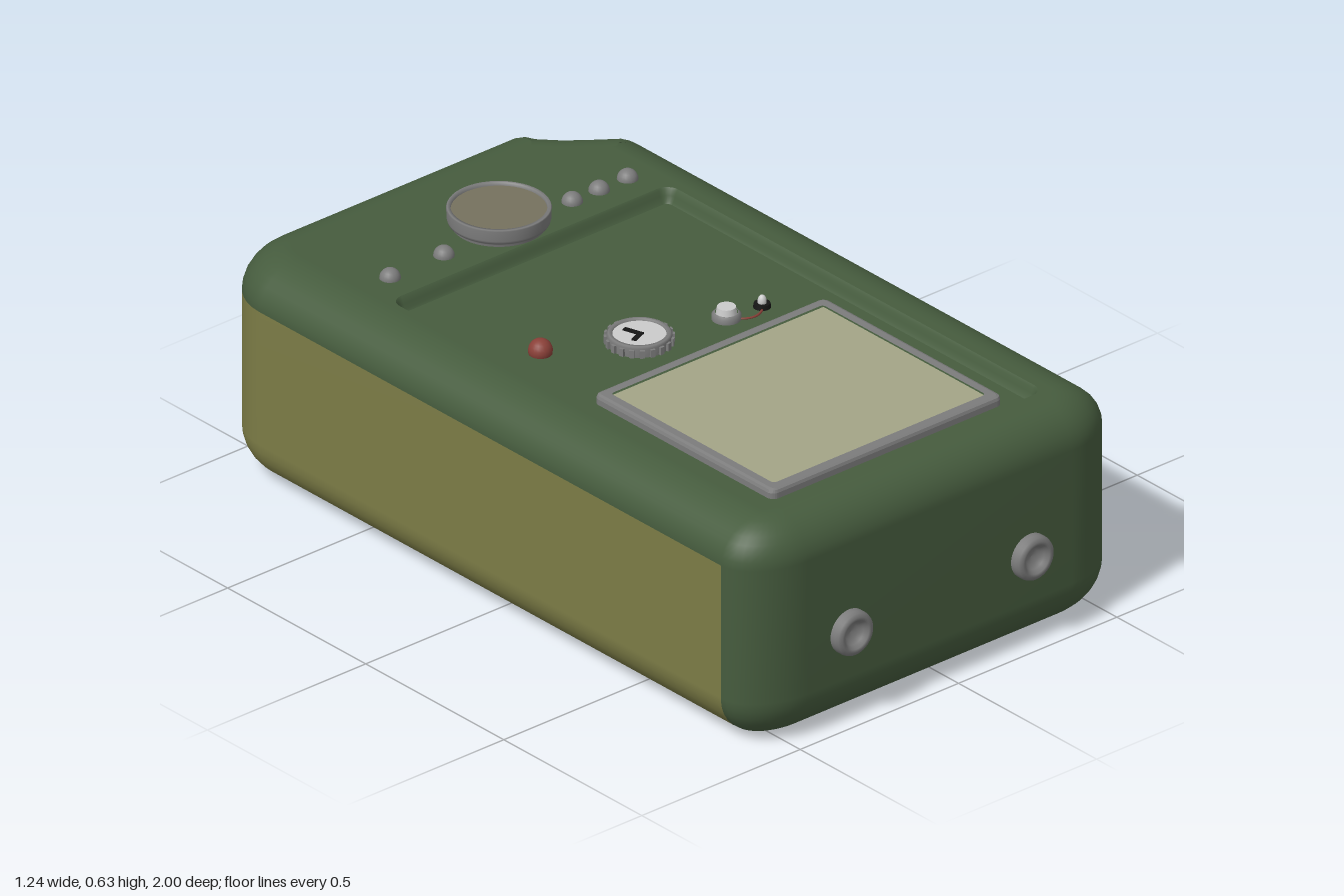
import * as THREE from 'three';

const mat = (color, extra = {}) => new THREE.MeshStandardMaterial({ color, ...extra });
const GREEN = mat(0x465c3e), OLIVE = mat(0x7c7c46), GREY = mat(0x7c7c7c), PALE = mat(0xcccccc);
const DARK = mat(0x151515), RED = mat(0x8a4038), SCREEN = mat(0xa3a486), LENS = mat(0x75715e);
const TOP = 0.585, FLOOR = 0.55;

// Elliptical corner points [x, z, wx, wz]; wx, wz say how far a point moves when inset
function corner(cx, cz, rx, rz, start, n = 10) {
  return Array.from({ length: n + 1 }, (_, i) => {
    const t = (start + i / n) * Math.PI / 2, c = Math.cos(t), s = -Math.sin(t);
    return [cx + rx * c, cz + rz * s, c, s];
  });
}

function roundedRect(x0, x1, z0, z1, r) {
  return [
    ...corner(x1 - r, z0 + r, r, r, 0, 6), ...corner(x0 + r, z0 + r, r, r, 1, 6),
    ...corner(x0 + r, z1 - r, r, r, 2, 6), ...corner(x1 - r, z1 - r, r, r, 3, 6),
  ];
}

const ring = (outline, y, ix, iz) =>
  outline.map(([x, z, wx, wz]) => new THREE.Vector3(x - wx * ix, y, z - wz * iz));

// Skins a stack of closed rings
function loft(rings) {
  const n = rings[0].length, index = [];
  for (let j = 0; j < rings.length - 1; j++) {
    for (let i = 0; i < n; i++) {
      const k = (i + 1) % n, a = j * n + i, b = j * n + k;
      index.push(a, b, b + n, a, b + n, a + n);
    }
  }
  const g = new THREE.BufferGeometry().setFromPoints(rings.flat());
  g.setIndex(index);
  g.computeVertexNormals();
  return g;
}

// Flat face filling a ring, facing up or down
function cap(points, up, hole) {
  const s = up ? -1 : 1;
  const flat = (p) => p.map((v) => new THREE.Vector2(v.x, v.z * s));
  const shape = new THREE.Shape(flat(points));
  if (hole) shape.holes.push(new THREE.Path(flat(hole)));
  return new THREE.ShapeGeometry(shape).rotateX(s * Math.PI / 2).translate(0, points[0].y, 0);
}

function lathe(profile, segments = 40) {
  return new THREE.LatheGeometry(profile.map(([r, y]) => new THREE.Vector2(r, y)), segments);
}

export function createModel() {
  const model = new THREE.Group();
  const add = (name, geometry, material, x = 0, y = 0, z = 0, parent = model) => {
    const m = new THREE.Mesh(geometry, material);
    m.name = name;
    m.position.set(x, y, z);
    parent.add(m);
    return m;
  };

  // Case outline, with a hollowed chamfer at the back left corner
  const outline = [
    [0.555, -0.75, 1, 0], [0.55, -0.785, 0.9, -0.4], [0.53, -0.818, 0.7, -0.7],
    [0.48, -0.855, 0.65, -0.75], [0.42, -0.902, 0.7, -0.7], [0.375, -0.95, 0.7, -0.7],
    [0.345, -0.985, 0.4, -0.9], [0.3, -1, 0, -1],
    ...corner(-0.43, -0.82, 0.19, 0.18, 1),
    ...corner(-0.45, 0.85, 0.17, 0.12, 2),
    ...corner(0.385, 0.85, 0.17, 0.12, 3),
  ];
  const IX = 0.13, IZ = 0.11, N = 8, rings = [];
  for (let i = 0; i <= N; i++) {
    const a = (i / N) * Math.PI / 2, k = 1 - Math.sin(a);
    rings.push(ring(outline, 0.12 * (1 - Math.cos(a)), IX * k, IZ * k));
  }
  for (let i = 0; i <= N; i++) {
    const a = (i / N) * Math.PI / 2, k = 1 - Math.cos(a);
    rings.push(ring(outline, 0.48 + (TOP - 0.48) * Math.sin(a), IX * k, IZ * k));
  }
  const skin = loft(rings), pos = skin.attributes.position, nor = skin.attributes.normal;
  const n = outline.length;
  for (let i = 0; i < n; i++) {
    nor.setXYZ(i, 0, -1, 0);
    nor.setXYZ(pos.count - 1 - i, 0, 1, 0);
  }

  // Split the skin into the green front and top shell and the olive sides
  const parts = { green: [], olive: [] }, idx = skin.index.array;
  for (let t = 0; t < idx.length; t += 3) {
    const tri = [idx[t], idx[t + 1], idx[t + 2]];
    const y = tri.reduce((s, i) => s + pos.getY(i), 0) / 3;
    const z = tri.reduce((s, i) => s + pos.getZ(i), 0) / 3;
    (y > 0.48 || z > 0.85 ? parts.green : parts.olive).push(...tri);
  }
  for (const [key, name, material] of [['green', 'caseShell', GREEN], ['olive', 'caseSides', OLIVE]]) {
    const g = new THREE.BufferGeometry();
    g.setAttribute('position', pos);
    g.setAttribute('normal', nor);
    g.setIndex(parts[key]);
    add(name, g, material);
  }
  add('caseBottom', cap(rings[0], false), OLIVE);

  // Top face with the sunken control panel
  const panel = roundedRect(-0.475, 0.405, -0.515, 0.845, 0.035);
  const walls = [0, 1, 2, 3, 4].map((i) => {
    const t = i / 4;
    return ring(panel, TOP - (TOP - FLOOR) * t * t * (3 - 2 * t), 0.02 * t, 0.02 * t);
  });
  add('caseTop', cap(rings[rings.length - 1], true, walls[0]), GREEN);
  add('panelWall', loft(walls), GREEN);
  add('panelFloor', cap(walls[4], true), GREEN);

  // Screen and its bevelled frame
  const frame = new THREE.Shape(roundedRect(-0.39, 0.32, -0.775, -0.145, 0.01)
    .map(([x, y]) => new THREE.Vector2(x, y)));
  frame.holes.push(new THREE.Path(roundedRect(-0.37, 0.30, -0.755, -0.165, 0.01)
    .map(([x, y]) => new THREE.Vector2(x, y))));
  add('screenFrame', new THREE.ExtrudeGeometry(frame, {
    depth: 0.015, bevelThickness: 0.01, bevelSize: 0.01, bevelSegments: 2,
  }).rotateX(-Math.PI / 2), GREY, 0, FLOOR, 0);
  add('screen', new THREE.BoxGeometry(0.69, 0.012, 0.61), SCREEN, -0.035, FLOOR + 0.006, 0.46);

  // Large round dial
  const dial = new THREE.Group();
  dial.name = 'dial';
  dial.position.set(-0.03, 0, -0.63);
  model.add(dial);
  add('dialRim', lathe([[0.112, 0.545], [0.113, 0.59], [0.123, 0.598], [0.125, 0.605],
    [0.126, 0.632], [0.124, 0.635], [0.116, 0.635], [0.115, 0.625]], 48), GREY, 0, 0, 0, dial);
  add('dialFace', new THREE.CylinderGeometry(0.116, 0.116, 0.02, 48), LENS, 0, 0.617, 0, dial);

  // Row of small studs
  const stud = new THREE.SphereGeometry(0.026, 20, 12);
  for (const x of [-0.4, -0.23, 0.175, 0.26, 0.35]) add('stud', stud, GREY, x, TOP, -0.6);

  // Indicator lamp
  add('lamp', new THREE.SphereGeometry(0.03, 20, 12), RED, -0.335, 0.559, -0.13);

  // Clock gauge with notched bezel and two hands
  const clock = new THREE.Group();
  clock.name = 'clock';
  clock.position.set(-0.122, FLOOR, -0.016);
  model.add(clock);
  add('clockBezel', lathe([[0.077, -0.005], [0.079, 0.024], [0.074, 0.029], [0.066, 0.029], [0.064, 0.022]]),
    GREY, 0, 0, 0, clock);
  add('clockFace', new THREE.CylinderGeometry(0.066, 0.066, 0.02, 40), PALE, 0, 0.014, 0, clock);
  for (let i = 0; i < 20; i++) {
    const a = (i / 20) * Math.PI * 2;
    const tooth = add('bezelTooth', new THREE.BoxGeometry(0.012, 0.02, 0.012), GREY,
      Math.cos(a) * 0.079, 0.012, Math.sin(a) * 0.079, clock);
    tooth.rotation.y = -a;
  }
  for (const [len, angle] of [[0.052, 1.87], [0.042, 3.55]]) {
    const hand = add('clockHand', new THREE.BoxGeometry(len, 0.004, 0.012).translate(len / 2 - 0.006, 0, 0),
      DARK, 0, 0.026, 0.004, clock);
    hand.rotation.y = angle;
  }

  // Push knob, small toggle and the thin wire beside them
  add('knob', lathe([[0.036, 0], [0.036, 0.012], [0.03, 0.018], [0.028, 0.018]], 24), GREY, 0.113, FLOOR, 0.03);
  add('knobCap', new THREE.CylinderGeometry(0.023, 0.028, 0.034, 24), PALE, 0.113, FLOOR + 0.016, 0.03);
  add('toggleBase', new THREE.CylinderGeometry(0.02, 0.022, 0.012, 20), DARK, 0.215, FLOOR + 0.005, 0.042);
  const toggle = add('toggle', new THREE.SphereGeometry(0.011, 16, 12), PALE, 0.215, FLOOR + 0.015, 0.042);
  toggle.scale.y = 1.6;
  add('wire', new THREE.TubeGeometry(new THREE.QuadraticBezierCurve3(
    new THREE.Vector3(0.135, FLOOR + 0.002, 0.055), new THREE.Vector3(0.165, FLOOR + 0.002, 0.085),
    new THREE.Vector3(0.205, FLOOR + 0.002, 0.055)), 12, 0.003, 6), RED);

  // Dished sockets on the front and the left side
  const socket = (l) => lathe([[0.058, -0.03], [0.058, l - 0.014], [0.055, l - 0.005], [0.046, l],
    [0.038, l - 0.001], [0.03, l - 0.012], [0.02, l - 0.022], [0, l - 0.024]]);
  for (const x of [-0.32, 0.25]) {
    add('frontSocket', socket(0.03), GREY, x, 0.245, 0.97).rotation.x = Math.PI / 2;
  }
  add('sideSocket', socket(0.065), GREY, 0.555, 0.245, 0.585).rotation.z = -Math.PI / 2;

  return model;
}
